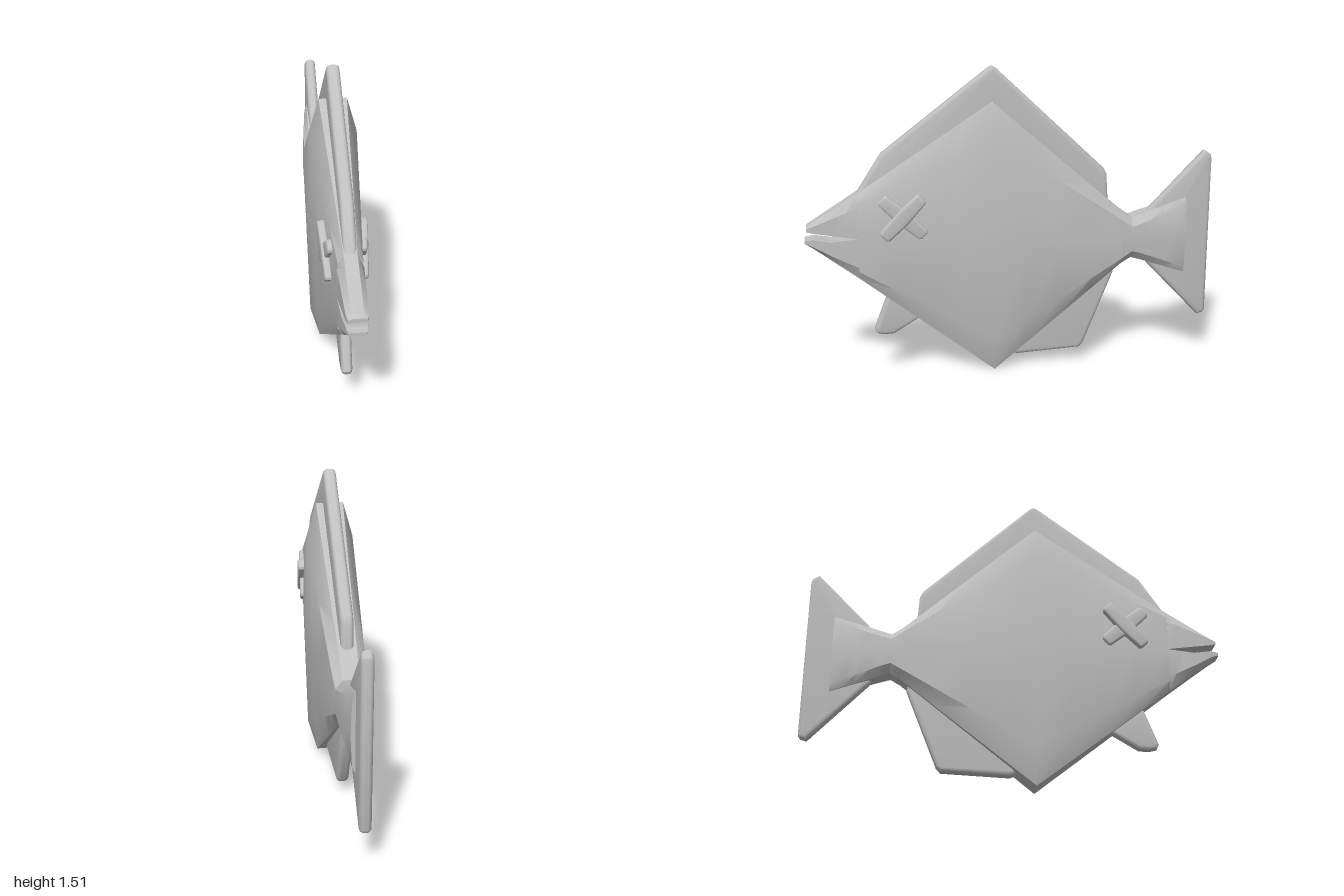
import * as THREE from 'three';
import { toCreasedNormals } from 'three/addons/utils/BufferGeometryUtils.js';

const skin = new THREE.MeshStandardMaterial({ color: 0xc0c0c0 });
skin.name = 'plain grey';

function addMesh(parent, name, geometry) {
  const mesh = new THREE.Mesh(geometry, skin);
  mesh.name = name;
  parent.add(mesh);
  return mesh;
}

// Loft through rings of [x, y] points, listed front to back, anticlockwise seen from +z
function loft(sections, steps = 4) {
  const rings = [];
  sections.forEach((s, k) => {
    const next = sections[k + 1];
    for (let j = 0; j < (next ? steps : 1); j++) {
      const t = j / steps;
      rings.push(s.ring.map(([x, y], i) => next
        ? [x + (next.ring[i][0] - x) * t, y + (next.ring[i][1] - y) * t, s.z + (next.z - s.z) * t]
        : [x, y, s.z]));
    }
  });
  const n = rings[0].length, index = [];
  for (let r = 0; r < rings.length - 1; r++) {
    for (let i = 0; i < n; i++) {
      const a = r * n + i, b = r * n + (i + 1) % n;
      index.push(a, a + n, b + n, a, b + n, b);
    }
  }
  const last = (rings.length - 1) * n;
  for (let i = 1; i < n - 1; i++) {
    index.push(0, i, i + 1, last, last + i + 1, last + i);
  }
  const geo = new THREE.BufferGeometry();
  geo.setAttribute('position', new THREE.Float32BufferAttribute(rings.flat(2), 3));
  geo.setIndex(index);
  return toCreasedNormals(geo, 0.5);
}

// Ten-sided slab section: a = ridge, b = shoulder, w = middle half-widths, c = bevel height
function bodySection(z, top, bot, a, b, w, c) {
  const mid = (top + bot) / 2;
  const right = [[a, bot], [b, bot + c], [w, mid], [b, top - c], [a, top]];
  return { z, ring: [...right, ...right.map(([x, y]) => [-x, y]).reverse()] };
}

// Jaw section: flat on the mouth side, bevelled on the outer side
function jawSection(z, mouth, outer, a, w) {
  const half = [[a, outer], [w, outer + (mouth - outer) * 0.3], [w, mouth]];
  const ring = [...half, ...half.map(([x, y]) => [-x, y]).reverse()];
  return { z, ring: outer > mouth ? ring.reverse() : ring };
}

// Bevelled plate from an outline of [z, y] points, centred on x = 0
function plate(points, thickness, bevel) {
  const shape = new THREE.Shape(points.map(p => new THREE.Vector2(...p)));
  const depth = thickness - 2 * bevel;
  const geo = new THREE.ExtrudeGeometry(shape, {
    depth, bevelEnabled: true, bevelThickness: bevel, bevelSize: bevel,
    bevelOffset: -bevel, bevelSegments: 3,
  });
  geo.translate(0, 0, -depth / 2);
  geo.rotateY(-Math.PI / 2);
  return toCreasedNormals(geo, 0.6);
}

export function createModel() {
  const fish = new THREE.Group();
  fish.name = 'fish';

  // Flat diamond body, pinched before the tail
  addMesh(fish, 'body', loft([
    bodySection(0.75, 0.925, 0.505, 0.03, 0.055, 0.06, 0.04),
    bodySection(0.1, 1.345, 0.003, 0.065, 0.112, 0.123, 0.17),
    bodySection(-0.54, 0.785, 0.515, 0.04, 0.078, 0.083, 0.04),
    bodySection(-0.59, 0.75, 0.545, 0.04, 0.072, 0.078, 0.04),
    bodySection(-0.64, 0.765, 0.53, 0.04, 0.068, 0.073, 0.04),
    bodySection(-0.87, 0.838, 0.45, 0.03, 0.042, 0.05, 0.03),
  ]));

  // Jaws with an open wedge between them
  addMesh(fish, 'upperJaw', loft([
    jawSection(0.99, 0.752, 0.772, 0.025, 0.042),
    jawSection(0.96, 0.744, 0.792, 0.028, 0.048),
    jawSection(0.75, 0.711, 0.925, 0.03, 0.059),
  ]));
  addMesh(fish, 'lowerJaw', loft([
    jawSection(1.0, 0.708, 0.69, 0.025, 0.04),
    jawSection(0.96, 0.712, 0.664, 0.028, 0.048),
    jawSection(0.88, 0.698, 0.604, 0.03, 0.053),
    jawSection(0.75, 0.71, 0.505, 0.03, 0.059),
  ]));

  // Fins
  addMesh(fish, 'dorsalFin', plate([
    [0.77, 0.89], [0.74, 0.94], [0.63, 1.11], [0.12, 1.5], [0.1, 1.51], [0.08, 1.5],
    [-0.45, 1.0], [-0.465, 0.97], [-0.475, 0.82], [-0.3, 0.8], [0.1, 1.1], [0.6, 0.85],
  ], 0.06, 0.02));
  addMesh(fish, 'analFin', plate([
    [0.1, 0.2], [0.0, 0.065], [-0.02, 0.058], [-0.34, 0.073], [-0.36, 0.095],
    [-0.51, 0.47], [-0.5, 0.58], [-0.3, 0.5],
  ], 0.06, 0.02));
  addMesh(fish, 'pelvicFin', plate([
    [0.685, 0.235], [0.675, 0.212], [0.64, 0.203], [0.59, 0.206], [0.45, 0.29],
    [0.45, 0.46], [0.6, 0.46],
  ], 0.052, 0.018));
  addMesh(fish, 'tailFin', plate([
    [-0.96, 1.07], [-0.995, 1.05], [-1.0, 1.03], [-1.0, 0.235], [-0.99, 0.22],
    [-0.96, 0.21], [-0.68, 0.505], [-0.68, 0.78],
  ], 0.055, 0.022));

  // Crossed bars for each eye
  const bar = [
    [0.135, 0.02], [0.125, 0.03], [0, 0.038], [-0.125, 0.03], [-0.135, 0.02],
    [-0.135, -0.02], [-0.125, -0.03], [0, -0.038], [0.125, -0.03], [0.135, -0.02],
  ];
  for (const side of [1, -1]) {
    const eye = new THREE.Group();
    eye.name = side > 0 ? 'leftEye' : 'rightEye';
    eye.position.set(side * 0.085, 0.813, 0.537);
    eye.rotation.y = -side * 0.09;
    const upper = addMesh(eye, 'eyeFrontBar', plate(bar, 0.045, 0.012));
    upper.rotation.x = 0.81;
    const lower = addMesh(eye, 'eyeBackBar', plate(bar, 0.035, 0.01));
    lower.rotation.x = -0.73;
    lower.position.x = -side * 0.005;
    fish.add(eye);
  }
  return fish;
}
